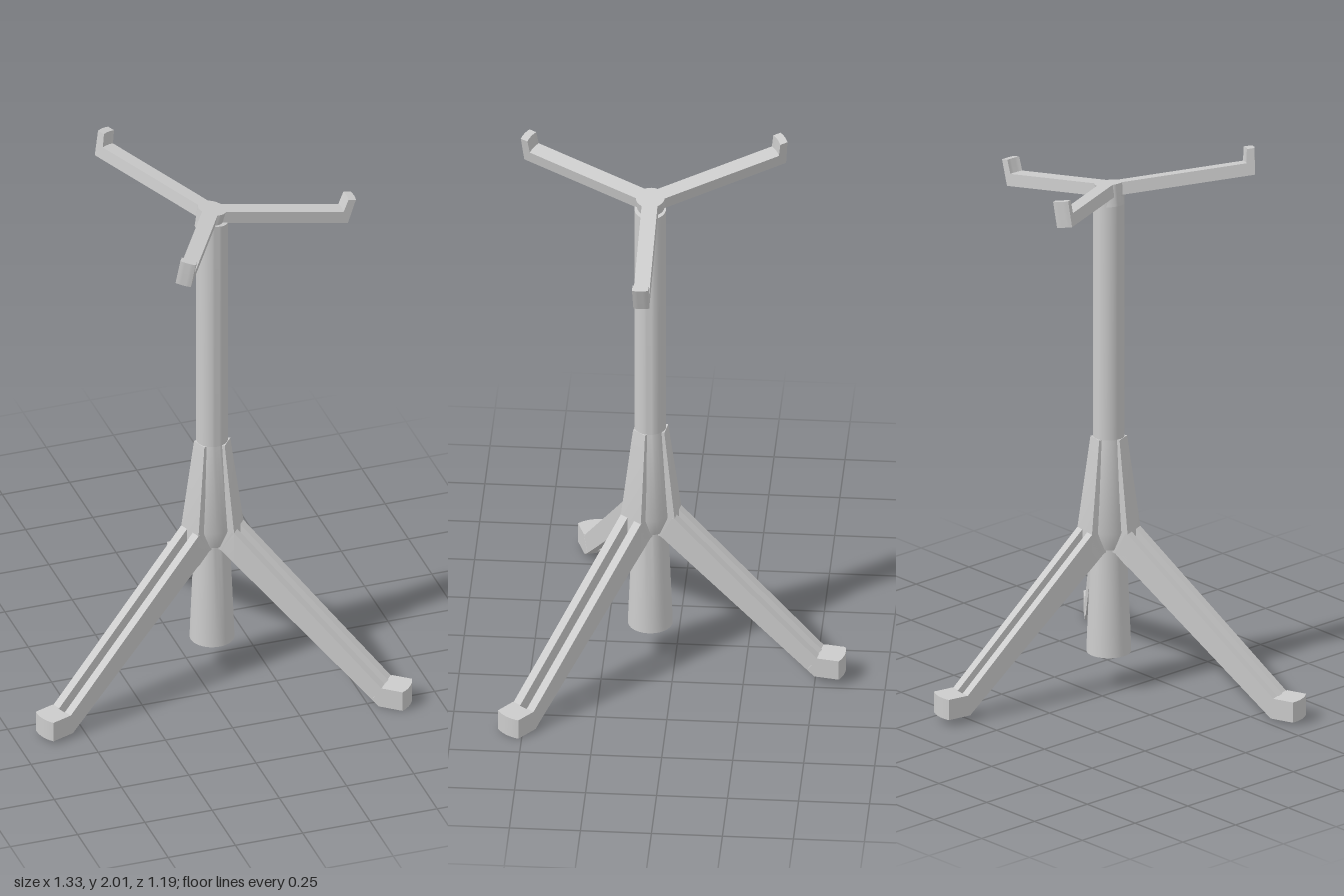
import * as THREE from 'three';
import { toCreasedNormals } from 'three/addons/utils/BufferGeometryUtils.js';

const mat = new THREE.MeshStandardMaterial({ color: 0xcccccc });

function add(parent, name, geo) {
  const mesh = new THREE.Mesh(toCreasedNormals(geo, 0.6), mat);
  mesh.name = name;
  parent.add(mesh);
  return mesh;
}

// Side profile (radius, height) extruded across the width, centred on z
function slab(points, width, steps = 1) {
  const shape = new THREE.Shape(points.map(([x, y]) => new THREE.Vector2(x, y)));
  const geo = new THREE.ExtrudeGeometry(shape, { depth: width, steps, bevelEnabled: false });
  return geo.translate(0, 0, -width / 2);
}

function warp(geo, rule) {
  const p = geo.attributes.position;
  const v = new THREE.Vector3();
  for (let i = 0; i < p.count; i++) {
    rule(v.fromBufferAttribute(p, i));
    p.setXYZ(i, v.x, v.y, v.z);
  }
  geo.computeVertexNormals();
  return geo;
}

// Round the far end of a part in plan
const roundEnd = (geo, from, r) => warp(geo, v => {
  if (v.x > from) v.x -= r - Math.sqrt(r * r - v.z * v.z);
});

const lathe = pts => new THREE.LatheGeometry(pts.map(([r, y]) => new THREE.Vector2(r, y)), 40);

function buildLeg(angle, R, y0) {
  const leg = new THREE.Group();
  leg.name = 'leg';
  leg.rotation.y = -angle;
  const width = 0.096, rail = 0.032;

  // Twin sloping rails with an open slot between them
  const railProfile = [[0.09, 0.6], [0.05, 0.52], [R - 0.1, y0], [R - 0.05, y0],
    [R - 0.05, y0 + 0.075], [R - 0.09, y0 + 0.075], [0.1, 0.6]];
  for (const side of [-1, 1]) {
    add(leg, 'legRail', slab(railProfile, rail).translate(0, 0, side * (width - rail) / 2));
  }

  // Solid foot with a rounded toe
  const foot = slab([[R - 0.125, y0 + 0.025], [R - 0.1, y0], [R, y0],
    [R, y0 + 0.076], [R - 0.085, y0 + 0.076]], width + 0.002, 8);
  add(leg, 'foot', roundEnd(foot, R - 0.02, 0.12));

  // Gusset against the pole, narrowing upward
  const gusset = slab([[0, 0.94], [0, 0.53], [0.05, 0.52], [0.1, 0.475], [0.1, 0.6], [0.058, 0.94]], width);
  add(leg, 'gusset', warp(gusset, v => {
    v.z *= 1 - 0.4 * Math.max(0, (v.y - 0.6) / 0.34);
  }));
  return leg;
}

function buildHead() {
  const head = new THREE.Group();
  head.name = 'head';
  add(head, 'hub', new THREE.CylinderGeometry(0.051, 0.046, 0.08, 32).translate(0, -0.04, 0));

  // Three arms with an upturned lip at each tip
  for (let i = 0; i < 3; i++) {
    const arm = new THREE.Group();
    arm.name = 'arm';
    arm.rotation.y = i * Math.PI * 2 / 3;
    const geo = slab([[0, -0.045], [0.52, -0.045], [0.53, 0.05], [0.502, 0.05],
      [0.494, 0], [0, 0]], 0.056, 6);
    add(arm, 'armWithLip', roundEnd(geo, 0.48, 0.11));
    head.add(arm);
  }
  return head;
}

export function createModel() {
  const model = new THREE.Group();
  model.name = 'tripodStand';
  const stand = new THREE.Group();
  stand.name = 'stand';
  stand.position.set(0.065, 0, 0.09);
  model.add(stand);

  // Pole with its top cut to the tilt of the head
  const pole = new THREE.CylinderGeometry(0.056, 0.056, 1.3, 40).translate(0, 1.195, 0);
  add(stand, 'pole', warp(pole, v => { if (v.y > 1.8) v.y -= 0.2 * v.x; }));

  // Flared collar where the legs join
  add(stand, 'collar', lathe([[0, 0.53], [0.066, 0.53], [0.088, 0.6], [0.056, 0.94], [0, 0.94]]));

  // Lower tube, hollow at the bottom
  add(stand, 'lowerTube', lathe([[0, 0.45], [0.05, 0.45], [0.066, 0.13], [0.079, 0.13],
    [0.077, 0.19], [0.062, 0.55], [0, 0.55]]));

  const deg = Math.PI / 180;
  for (const [angle, R, y0] of [[39, 0.74, 0], [160, 0.768, 0.01], [-80, 0.705, 0.025]]) {
    stand.add(buildLeg(angle * deg, R, y0));
  }

  const head = buildHead();
  head.position.y = 1.89;
  head.rotation.set(0.03, 0, -0.2);
  stand.add(head);
  return model;
}
